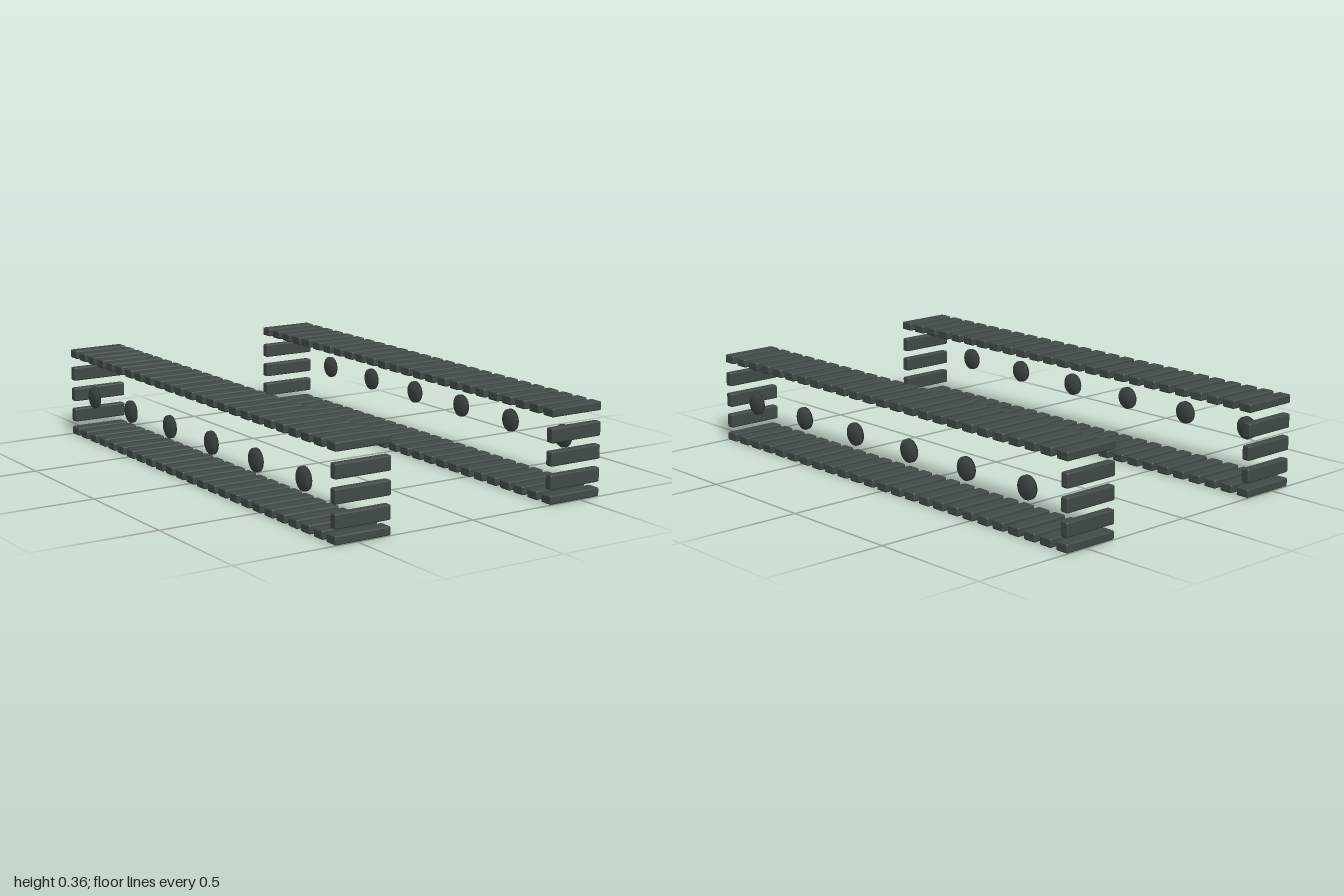
import * as THREE from 'three';
import { mergeVertices } from 'three/addons/utils/BufferGeometryUtils.js';
import { RoundedBoxGeometry } from 'three/addons/geometries/RoundedBoxGeometry.js';

const WIDTH = 0.234, DEPTH = 0.056, THICK = 0.034, HEIGHT = 0.363;
const COUNT = 25, TRACK_X = 0.475;

// Thin wheel disc on the x axis, with shared vertices so its rim shades softly
function discGeometry() {
  const g = new THREE.CylinderGeometry(0.045, 0.045, 0.012, 24);
  g.rotateZ(Math.PI / 2);
  g.deleteAttribute('normal');
  g.deleteAttribute('uv');
  const merged = mergeVertices(g, 1e-4);
  merged.computeVertexNormals();
  return merged;
}

export function createModel() {
  const model = new THREE.Group();
  model.name = 'trackPair';

  const darkMetal = new THREE.MeshStandardMaterial({ color: 0x414b47 });
  darkMetal.name = 'darkMetal';

  const flatPlate = new RoundedBoxGeometry(WIDTH, THICK, DEPTH, 2, 0.006);
  const endPlate = new RoundedBoxGeometry(WIDTH, DEPTH, THICK, 2, 0.006);
  const disc = discGeometry();

  function add(parent, geometry, name, x, y, z) {
    const mesh = new THREE.Mesh(geometry, darkMetal);
    mesh.name = name;
    mesh.position.set(x, y, z);
    parent.add(mesh);
  }

  for (const side of [1, -1]) {
    const track = new THREE.Group();
    track.name = side > 0 ? 'leftTrack' : 'rightTrack';
    track.position.x = side * TRACK_X;

    // Upper and lower runs of plates
    const endZ = 1 - DEPTH / 2;
    for (let i = 0; i < COUNT; i++) {
      const z = endZ - (i * 2 * endZ) / (COUNT - 1);
      add(track, flatPlate, 'upperPlate', 0, HEIGHT - THICK / 2, z);
      add(track, flatPlate, 'lowerPlate', 0, THICK / 2, z);
    }

    // Upright plates closing each end
    for (const end of [1, -1]) {
      for (const y of [0.084, 0.172, 0.26]) {
        add(track, endPlate, 'endPlate', 0, y, end * (1 - THICK / 2));
      }
    }

    // Wheel discs along the outer edge
    for (let i = 0; i < 6; i++) {
      add(track, disc, 'wheelDisc', side * 0.111, 0.192, 0.795 - i * 0.318);
    }
    model.add(track);
  }
  return model;
}
